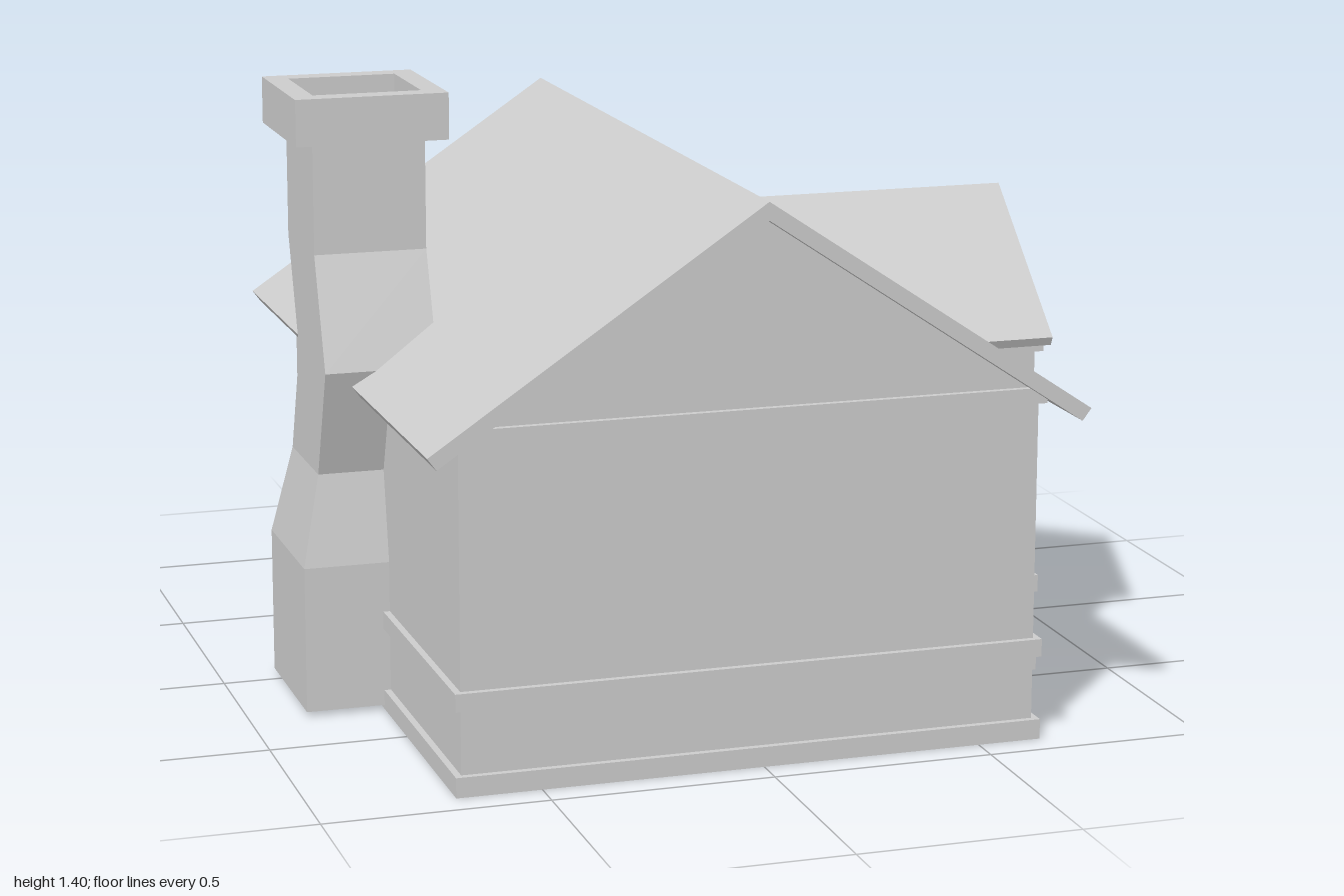
import * as THREE from 'three';

const mat = new THREE.MeshStandardMaterial({ color: 0xcccccc, flatShading: true, side: THREE.DoubleSide });
const CX = -0.0225; // centre line of the main house
const BZ = 0.1375;  // centre line of the side bay

function add(group, name, geo) {
  const mesh = new THREE.Mesh(geo, mat);
  mesh.name = name;
  group.add(mesh);
  return mesh;
}

// Box given by its limits on each axis
function box(group, name, x0, x1, y0, y1, z0, z1) {
  const geo = new THREE.BoxGeometry(x1 - x0, y1 - y0, z1 - z0);
  geo.translate((x0 + x1) / 2, (y0 + y1) / 2, (z0 + z1) / 2);
  return add(group, name, geo);
}

const toPoints = (pts) => pts.map(([x, y]) => new THREE.Vector2(x, y));

// Outline in x and y, pushed from z0 to z1, with optional hole
function slab(pts, z0, z1, hole) {
  const shape = new THREE.Shape(toPoints(pts));
  if (hole) shape.holes.push(new THREE.Path(toPoints(hole)));
  const geo = new THREE.ExtrudeGeometry(shape, { depth: z1 - z0, bevelEnabled: false });
  geo.translate(0, 0, z0);
  return geo;
}

const gable = (half, eave, apex) => [[-half, 0], [half, 0], [half, eave], [0, apex], [-half, eave]];
const chevron = (half, eave, apex, inHalf, inEave, inApex) =>
  [[-half, eave], [-inHalf, inEave], [0, inApex], [inHalf, inEave], [half, eave], [0, apex]];
const rect = (x0, x1, y0, y1) => [[x0, y0], [x1, y0], [x1, y1], [x0, y1]];

// Arch with cut corners
const arch = (half, y0, shoulder, topHalf, top) =>
  [[-half, y0], [half, y0], [half, shoulder], [topHalf, top], [-topHalf, top], [-half, shoulder]];

// Solid lofted through rectangles [y, x0, x1, z0, z1]
function loft(rings) {
  const pos = [], idx = [];
  for (const [y, x0, x1, z0, z1] of rings) pos.push(x0, y, z1, x1, y, z1, x1, y, z0, x0, y, z0);
  for (let r = 0; r < rings.length - 1; r++) {
    for (let i = 0; i < 4; i++) {
      const a = r * 4 + i, b = r * 4 + (i + 1) % 4;
      idx.push(a, b, b + 4, a, b + 4, a + 4);
    }
  }
  const t = (rings.length - 1) * 4;
  idx.push(0, 2, 1, 0, 3, 2, t, t + 1, t + 2, t, t + 2, t + 3);
  const geo = new THREE.BufferGeometry();
  geo.setAttribute('position', new THREE.Float32BufferAttribute(pos, 3));
  geo.setIndex(idx);
  const flat = geo.toNonIndexed();
  flat.computeVertexNormals();
  return flat;
}

export function createModel() {
  const house = new THREE.Group();
  house.name = 'house';

  // Main walls, with the door recess cut into the back
  const opening = arch(0.125, 0.165, 0.55, 0.06, 0.6);
  const walls = gable(0.6525, 0.783, 1.22);
  add(house, 'mainWalls', slab(walls, -0.535, 0.915)).position.x = CX;
  add(house, 'backWall', slab(walls, -0.635, -0.535, opening)).position.x = CX;
  add(house, 'doorFrame', slab(arch(0.175, 0.165, 0.57, 0.085, 0.648), -0.668, -0.635, opening)).position.x = CX;

  // Main roof
  add(house, 'mainRoof', slab(chevron(0.74, 0.765, 1.26, 0.72, 0.738, 1.22), -0.73, 1)).position.x = CX;

  // Side bay, facing +x
  const bay = new THREE.Group();
  bay.name = 'sideBay';
  bay.rotation.y = Math.PI / 2;
  bay.position.z = BZ;
  house.add(bay);
  const bayWalls = gable(0.3075, 0.79, 1.065);
  const pane = rect(-0.075, 0.075, 0.395, 0.575);
  add(bay, 'bayWalls', slab(bayWalls, 0.5, 0.79));
  add(bay, 'bayFrontWall', slab(bayWalls, 0.79, 0.82, pane));
  add(bay, 'bayRoof', slab(chevron(0.34, 0.8, 1.1, 0.33, 0.78, 1.07), 0.2, 0.85));

  // Bay window
  for (const s of [-1, 1]) {
    const a = s * 0.0825;
    box(bay, 'windowPost', a - 0.0075, a + 0.0075, 0.395, 0.575, 0.815, 0.83);
  }
  box(bay, 'windowLintel', -0.103, 0.103, 0.575, 0.59, 0.815, 0.832);
  box(bay, 'windowSill', -0.103, 0.103, 0.38, 0.395, 0.815, 0.865);

  // Trim bands round the house and the bay, broken at the door
  const L = -0.69, R = 0.645;
  for (const [name, y0, y1] of [['plinth', 0, 0.045], ['waistBand', 0.19, 0.23], ['frieze', 0.765, 0.8]]) {
    const broken = name === 'waistBand';
    box(house, name, L, R, y0, y1, broken ? -0.534 : -0.65, 0.93);
    if (broken) {
      box(house, name, L, CX - 0.16, y0, y1, -0.65, -0.534);
      box(house, name, CX + 0.16, R, y0, y1, -0.65, -0.534);
    }
    box(house, name, 0.5, 0.835, y0, y1, BZ - 0.3225, BZ + 0.3225);
  }

  // Back steps
  for (const [half, top, z] of [[0.45, 0.045, -1], [0.36, 0.108, -0.925], [0.28, 0.165, -0.855]]) {
    box(house, 'step', CX + 0.007 - half, CX + 0.007 + half, 0, top, z, -0.6);
  }

  // Crooked chimney with a hollow cap
  const chimney = new THREE.Group();
  chimney.name = 'chimney';
  house.add(chimney);
  add(chimney, 'chimneyStack', loft([
    [0.01, -0.87, -0.57, -0.05, 0.295],
    [0.345, -0.87, -0.57, -0.05, 0.295],
    [0.55, -0.825, -0.57, -0.01, 0.255],
    [0.8, -0.825, -0.57, 0.08, 0.345],
    [1.05, -0.825, -0.57, -0.01, 0.255],
    [1.31, -0.825, -0.57, -0.01, 0.255],
  ]));
  const cap = slab(rect(-0.1725, 0.1725, -0.1725, 0.1725), 0, 0.105, rect(-0.1225, 0.1225, -0.1225, 0.1225));
  cap.rotateX(-Math.PI / 2);
  add(chimney, 'chimneyCap', cap).position.set(-0.6975, 1.3, 0.1225);

  return house;
}
